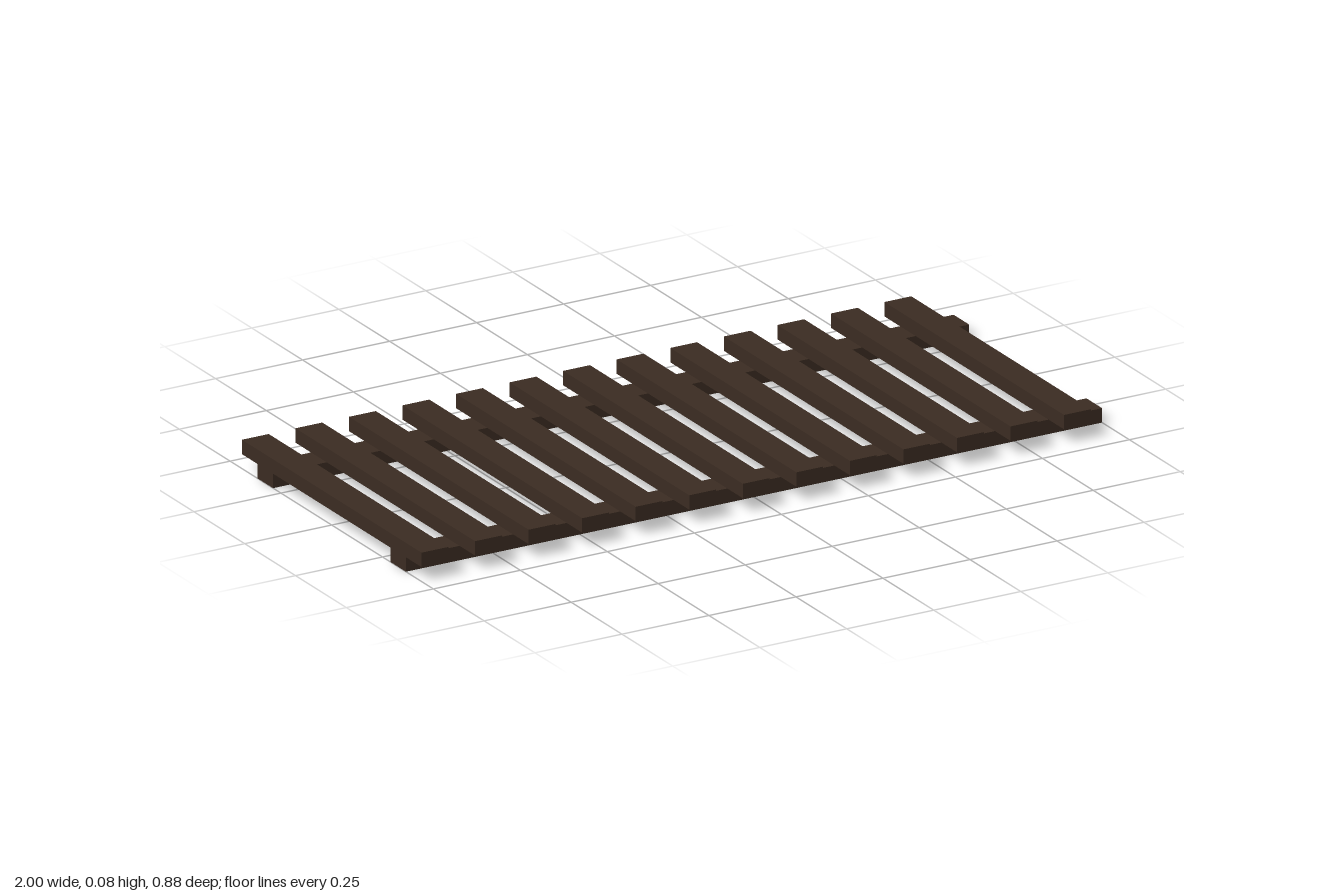
import * as THREE from 'three';

export function createModel() {
  const model = new THREE.Group();
  model.name = 'slattedTrack';
  const wood = new THREE.MeshStandardMaterial({ color: 0x3b2c22 });
  wood.name = 'darkWood';

  const count = 13;
  const pitch = 2 / count;
  const size = pitch / 2; // beam width
  const thick = size / 2; // beam height

  function beam(name, w, d, x, y, z) {
    const mesh = new THREE.Mesh(new THREE.BoxGeometry(w, thick, d), wood);
    mesh.name = name;
    mesh.position.set(x, y, z);
    model.add(mesh);
  }

  // two long rails on the ground
  for (const side of [1, -1]) {
    beam(side > 0 ? 'frontRail' : 'backRail', 2, size, 0, thick / 2, side * 0.327);
  }

  // cross slats resting on the rails, starting flush with the right end
  for (let i = 0; i < count; i++) {
    beam('slat' + (i + 1), size, 0.884, -1 + size / 2 + i * pitch, thick * 1.5, 0);
  }
  return model;
}
